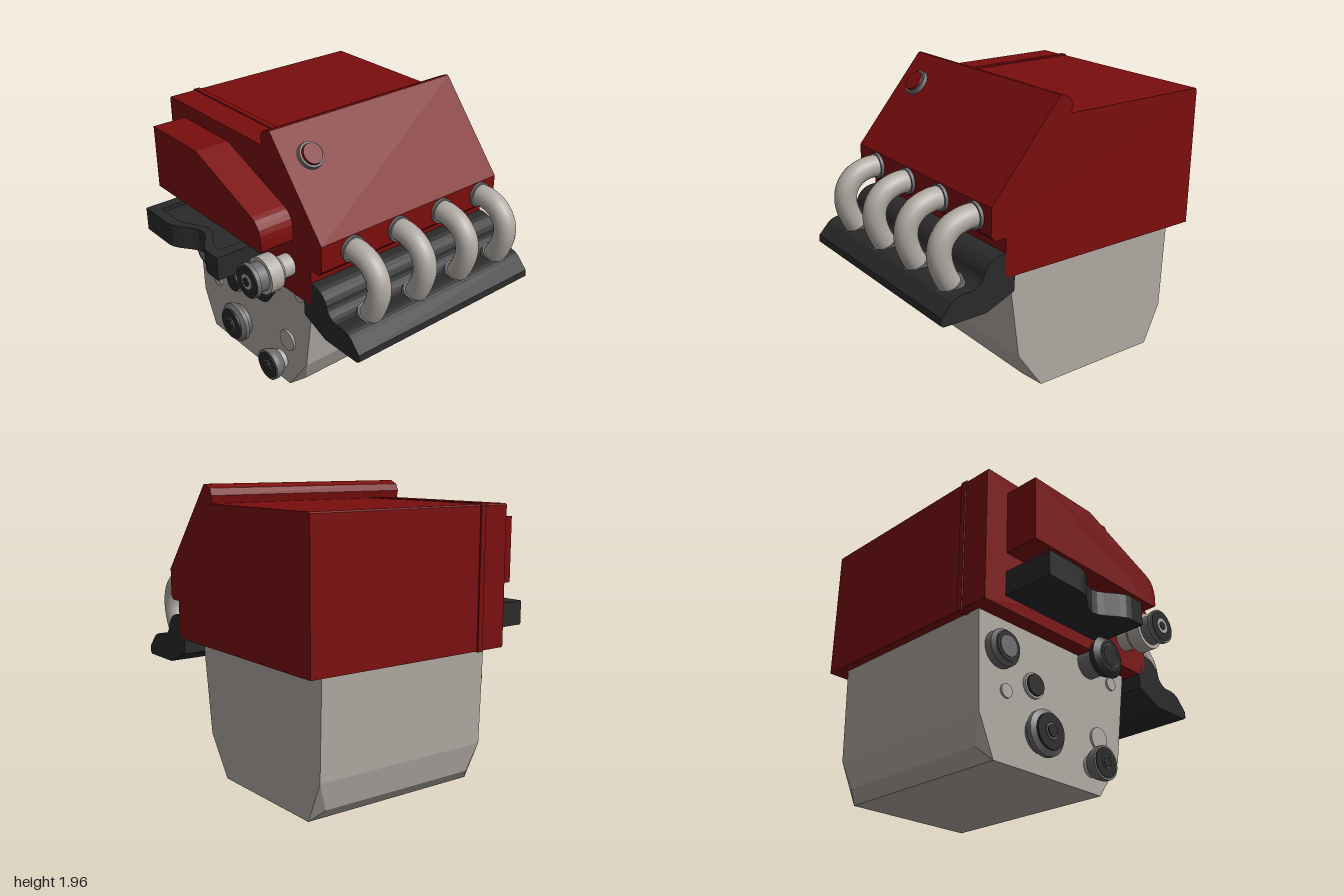
import * as THREE from 'three';
import { ConvexGeometry } from 'three/addons/geometries/ConvexGeometry.js';

const material = (name, color) => {
  const m = new THREE.MeshStandardMaterial({ color });
  m.name = name;
  return m;
};

export function createModel() {
  const red = material('red paint', 0x7a0d0d);
  const alloy = material('light alloy', 0xb0a9a3);
  const black = material('black plastic', 0x2a2a2a);
  const steel = material('grey steel', 0x6c6c6c);
  const model = new THREE.Group();
  model.name = 'engine';

  const add = (name, geometry, mat, parent = model) => {
    const mesh = new THREE.Mesh(geometry, mat);
    mesh.name = name;
    parent.add(mesh);
    return mesh;
  };
  const group = (name, x, y, z) => {
    const g = new THREE.Group();
    g.name = name;
    g.position.set(x, y, z);
    model.add(g);
    return g;
  };
  // Prism with a front profile, running from z0 to z1
  const prism = (shape, z0, z1) =>
    new THREE.ExtrudeGeometry(shape, { depth: z1 - z0, bevelEnabled: false, curveSegments: 6 }).translate(0, 0, z0);
  const polygon = (pts) => new THREE.Shape(pts.map(([x, y]) => new THREE.Vector2(x, y)));

  // Lower block: tapered sump whose bottom corners are cut at both ends
  const corners = [];
  for (const s of [-1, 1]) {
    const at = (x, y, halfDepth) => {
      for (const e of [-1, 1]) corners.push(new THREE.Vector3(-0.29 + s * x, y, -0.175 + e * halfDepth));
    };
    at(s > 0 ? 0.72 : 0.64, 0.92, 0.645);
    at(s > 0 ? 0.63 : 0.62, 0.27, 0.645);
    at(s > 0 ? 0.54 : 0.58, 0.08, 0.575);
    at(s > 0 ? 0.44 : 0.5, 0, 0.645);
  }
  add('lowerBlock', new ConvexGeometry(corners), alloy);

  // Upper housing and the sloping cover on its left
  const back = -0.94, front = 0.583;
  add('upperHousing', prism(polygon([
    [-0.99, 0.915], [0.54, 0.915], [0.54, 1.3], [0.2, 1.84], [-0.98, 1.84], [-0.99, 1.83],
  ]), back, front), red);
  add('slopingCover', prism(polygon([
    [0.54, 1.17], [0.62, 1.17], [0.645, 1.2], [0.645, 1.38], [0.155, 1.96],
    [0.135, 1.96], [0.08, 1.935], [0.06, 1.89], [0.07, 1.84],
  ]), back, front), red);
  add('housingRib', prism(polygon([
    [-1, 0.91], [-0.9, 0.91], [-0.9, 1.8], [0.06, 1.8], [0.06, 1.848], [-0.985, 1.848], [-1, 1.835],
  ]), 0.35, 0.39), red);

  // Front cover with a rounded nose
  const coverShape = polygon([[-0.815, 1.74], [-0.815, 1.3], [0.35, 1.3]]);
  coverShape.quadraticCurveTo(0.37, 1.3, 0.37, 1.33);
  coverShape.quadraticCurveTo(0.38, 1.48, 0.28, 1.515);
  coverShape.lineTo(-0.3, 1.74);
  add('frontCover', prism(coverShape, 0.57, 0.825), red);

  // Dipped front tray: a floor slab and a raised rim round a recess
  const trayOutline = (x0, x1, zBack, zFront, dip) => {
    const pts = [[x0, -zBack], [x0, -zFront]];
    for (let i = 0; i <= 12; i++) {
      const t = i / 12;
      pts.push([-0.54 + 0.48 * t, -zFront + dip * (0.5 - 0.5 * Math.cos(2 * Math.PI * t))]);
    }
    return pts.concat([[x1, -zFront], [x1, -zBack]]);
  };
  const slab = (shape, y0, y1) => prism(shape, y0, y1).rotateX(-Math.PI / 2);
  const outer = trayOutline(-0.82, 0.05, 0.57, 0.94, 0.12);
  const rim = polygon(outer);
  rim.holes.push(polygon(trayOutline(-0.74, -0.03, 0.62, 0.865, 0.1)));
  add('trayFloor', slab(polygon(outer), 1, 1.14), black);
  add('trayRim', slab(rim, 1.14, 1.165), black);

  // Side manifold with a hollow upper face
  const manifold = polygon([[0.54, 1.075], [0.47, 0.92], [0.475, 0.815], [0.68, 0.73], [0.98, 0.73], [1, 0.745], [0.995, 0.79]]);
  manifold.lineTo(0.92, 0.87);
  manifold.quadraticCurveTo(0.87, 0.91, 0.78, 0.9);
  manifold.quadraticCurveTo(0.7, 0.92, 0.69, 0.99);
  manifold.quadraticCurveTo(0.65, 1.08, 0.54, 1.075);
  add('manifold', prism(manifold, back, front), black);

  // Four curved pipes with a collar at each end
  const pipePath = new THREE.CatmullRomCurve3(
    [[0.63, 1.29], [0.72, 1.29], [0.82, 1.255], [0.885, 1.18], [0.9, 1.09], [0.875, 0.99], [0.82, 0.88]]
      .map(([x, y]) => new THREE.Vector3(x, y, 0)));
  for (const z of [0.345, -0.04, -0.42, -0.785]) {
    const pipe = group('pipe', 0, 0, z);
    add('pipeTube', new THREE.TubeGeometry(pipePath, 24, 0.075, 20), alloy, pipe);
    const collar = new THREE.CylinderGeometry(0.087, 0.087, 0.033, 24);
    const top = add('upperCollar', collar, steel, pipe);
    top.position.set(0.65, 1.29, 0);
    top.rotation.z = Math.PI / 2;
    const low = add('lowerCollar', collar, steel, pipe);
    low.position.set(0.825, 0.9, 0);
    low.rotation.z = -0.45;
  }

  // Filler cap on the slope
  const cap = group('fillerCap', 0.295, 1.794, 0.385);
  cap.rotation.z = -0.87;
  add('capRing', new THREE.CylinderGeometry(0.085, 0.095, 0.05, 32), steel, cap);
  add('capTop', new THREE.CylinderGeometry(0.068, 0.075, 0.04, 32), red, cap).position.y = 0.022;

  // Round fittings facing forward, each a stack of discs
  const fitting = (name, x, y) => {
    const parent = group(name, x, y, 0);
    return (part, mat, z0, z1, rBack, rFront = rBack) => add(part,
      new THREE.CylinderGeometry(rFront, rBack, z1 - z0, 32).rotateX(Math.PI / 2).translate(0, 0, (z0 + z1) / 2),
      mat, parent);
  };

  // Flat plugs on the block
  for (const [x, y, r] of [[-0.7, 0.45, 0.045], [0.14, 0.375, 0.078], [0.285, 0.81, 0.045]]) {
    fitting('blockPlug', x, y)('plugDisc', alloy, 0.46, 0.485, r);
  }

  const smallIdler = fitting('smallIdler', -0.47, 0.555);
  smallIdler('idlerSeat', alloy, 0.46, 0.49, 0.083);
  smallIdler('idlerFace', black, 0.48, 0.505, 0.07);

  const upperIdler = fitting('upperIdler', -0.755, 0.7);
  upperIdler('idlerRim', steel, 0.46, 0.52, 0.12);
  upperIdler('idlerBevel', steel, 0.52, 0.545, 0.12, 0.1);
  upperIdler('idlerFace', black, 0.53, 0.55, 0.095);
  upperIdler('idlerHub', steel, 0.53, 0.555, 0.07);

  const crankPulley = fitting('crankPulley', -0.415, 0.25);
  crankPulley('pulleyBase', steel, 0.46, 0.51, 0.12);
  crankPulley('pulleyRim', steel, 0.51, 0.54, 0.148);
  crankPulley('pulleyBevel', steel, 0.54, 0.56, 0.148, 0.118);
  crankPulley('pulleyFace', black, 0.55, 0.575, 0.115);
  crankPulley('pulleyHub', steel, 0.55, 0.582, 0.052);
  crankPulley('pulleyBolt', black, 0.55, 0.59, 0.04);

  const lowerPulley = fitting('lowerPulley', 0.06, 0.17);
  lowerPulley('pulleyStub', alloy, 0.46, 0.53, 0.07);
  lowerPulley('pulleyCone', steel, 0.51, 0.56, 0.09, 0.113);
  lowerPulley('pulleyRim', steel, 0.56, 0.594, 0.113);
  lowerPulley('pulleyFace', black, 0.58, 0.599, 0.098);
  lowerPulley('pulleyHub', steel, 0.58, 0.604, 0.042);
  lowerPulley('pulleyBolt', black, 0.58, 0.609, 0.035);

  const middlePulley = fitting('middlePulley', 0.06, 0.88);
  middlePulley('pulleyStub', steel, 0.46, 0.6, 0.1);
  middlePulley('pulleyCone', black, 0.585, 0.64, 0.12, 0.145);
  middlePulley('pulleyBevel', black, 0.64, 0.665, 0.145, 0.105);
  middlePulley('pulleyRing', steel, 0.65, 0.668, 0.08);
  middlePulley('pulleyHub', black, 0.65, 0.672, 0.074);

  const pump = fitting('frontPump', 0.315, 1.11);
  pump('pumpStub', alloy, 0.57, 0.68, 0.075);
  pump('pumpShoulder', alloy, 0.67, 0.705, 0.085, 0.125);
  pump('pumpBody', alloy, 0.705, 0.8, 0.125);
  pump('pumpNeck', steel, 0.8, 0.87, 0.098);
  pump('pumpFlange', steel, 0.87, 0.9, 0.115);
  pump('pumpFace', black, 0.88, 0.904, 0.105);
  pump('pumpHub', alloy, 0.88, 0.908, 0.052);
  pump('pumpBolt', black, 0.88, 0.912, 0.03);

  return model;
}
